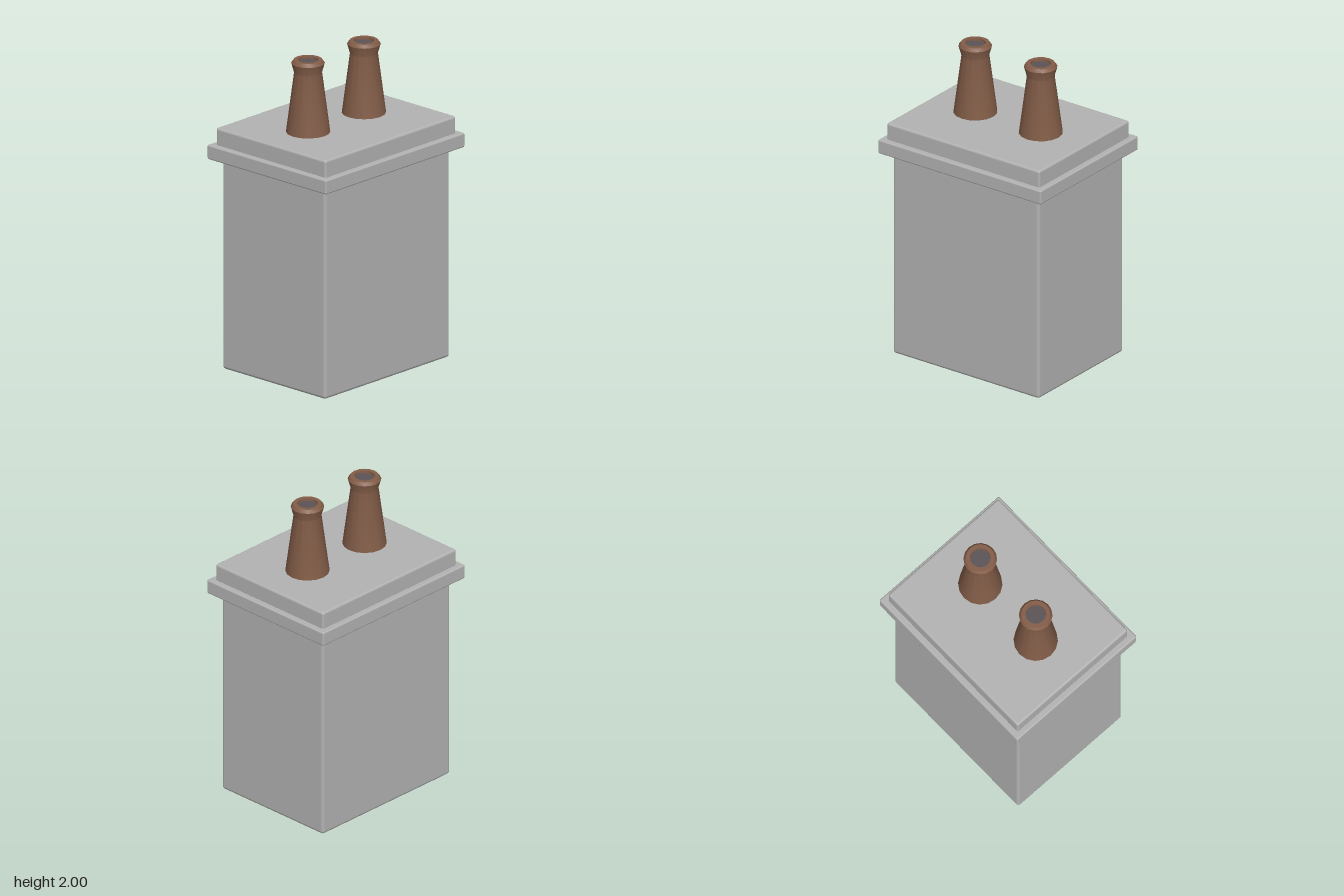
import * as THREE from 'three';
import { toCreasedNormals } from 'three/addons/utils/BufferGeometryUtils.js';
import { RoundedBoxGeometry } from 'three/addons/geometries/RoundedBoxGeometry.js';

const material = (name, color) => {
  const m = new THREE.MeshStandardMaterial({ color });
  m.name = name;
  return m;
};

export function createModel() {
  const model = new THREE.Group();
  const grey = material('grey metal', 0xb2b2b2);
  const brown = material('brown ceramic', 0x835d48);
  const dark = material('dark terminal', 0x5b5355);

  // Softly bevelled box spanning y0 to y1
  const box = (name, width, depth, y0, y1, bevel) => {
    const mesh = new THREE.Mesh(new RoundedBoxGeometry(width, y1 - y0, depth, 2, bevel), grey);
    mesh.name = name;
    mesh.position.y = (y0 + y1) / 2;
    model.add(mesh);
  };
  box('tank', 0.855, 1.105, 0, 1.36, 0.02);
  box('flange', 0.985, 1.23, 1.34, 1.432, 0.01);
  box('lid', 0.91, 1.155, 1.42, 1.54, 0.015);

  // Tapered bushings with a flared lip and a recessed terminal
  const profile = [
    [0.135, 1.535], [0.085, 1.92], [0.102, 1.98], [0.088, 2], [0.062, 2], [0.06, 1.975],
  ].map(([r, y]) => new THREE.Vector2(r, y));
  const bushingShape = toCreasedNormals(new THREE.LatheGeometry(profile, 16), 0.5);
  const terminalShape = new THREE.CircleGeometry(0.062, 16).rotateX(-Math.PI / 2);

  for (const [side, z] of [['front', 0.247], ['back', -0.247]]) {
    const bushing = new THREE.Mesh(bushingShape, brown);
    bushing.name = side + 'Bushing';
    bushing.position.z = z;
    const terminal = new THREE.Mesh(terminalShape, dark);
    terminal.name = side + 'Terminal';
    terminal.position.set(0, 1.985, z);
    model.add(bushing, terminal);
  }
  return model;
}
